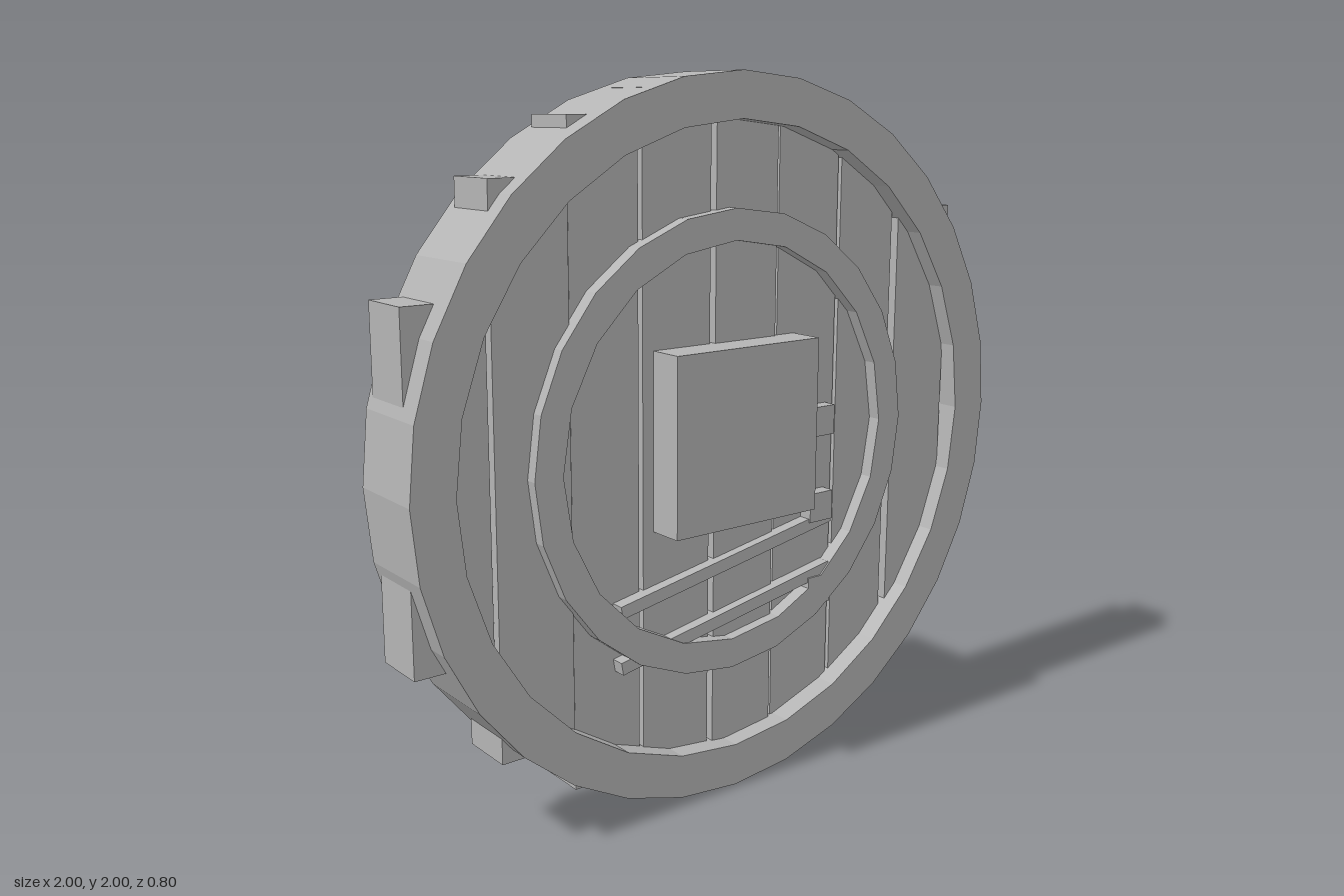
import * as THREE from 'three';

export function createModel() {
  const model = new THREE.Group();
  model.name = 'roundShield';
  const grey = new THREE.MeshStandardMaterial({ color: 0xb4b4b4 });
  grey.name = 'plainGrey';

  // Box given by its limits on each axis
  function box(name, x0, x1, y0, y1, z0, z1, parent = model) {
    const mesh = new THREE.Mesh(new THREE.BoxGeometry(x1 - x0, y1 - y0, z1 - z0), grey);
    mesh.position.set((x0 + x1) / 2, (y0 + y1) / 2, (z0 + z1) / 2);
    mesh.name = name;
    parent.add(mesh);
    return mesh;
  }

  function polygon(radius, sides) {
    return Array.from({ length: sides }, (_, i) => {
      const a = (i / sides) * Math.PI * 2;
      return new THREE.Vector2(Math.cos(a) * radius, Math.sin(a) * radius);
    });
  }

  // Faceted ring facing the front
  function ring(name, outer, inner, sides, innerSides, z0, z1) {
    const shape = new THREE.Shape(polygon(outer, sides));
    shape.holes.push(new THREE.Path(polygon(inner, innerSides)));
    const geo = new THREE.ExtrudeGeometry(shape, { depth: z1 - z0, bevelEnabled: false });
    const mesh = new THREE.Mesh(geo, grey);
    mesh.position.set(0, 1.003, z0);
    mesh.name = name;
    model.add(mesh);
  }
  ring('outerRim', 0.998, 0.875, 32, 28, 0.112, 0.356);
  ring('innerRing', 0.645, 0.56, 24, 20, 0.115, 0.335);

  // Upright planks: left edge, right edge, half height, back z
  const planks = [
    [-0.97, -0.745, 0.457, 0.132],
    [-0.738, -0.515, 0.74, 0.145],
    [-0.508, -0.295, 0.885, 0.135],
    [-0.285, -0.06, 0.95, 0.14],
    [-0.045, 0.17, 0.965, 0.145],
    [0.183, 0.405, 0.925, 0.137],
    [0.415, 0.625, 0.82, 0.14],
    [0.642, 0.857, 0.615, 0.15],
  ];
  const boards = new THREE.Group();
  boards.name = 'planks';
  model.add(boards);
  for (const [x0, x1, half, z] of planks) {
    box('plank', x0, x1, 1.005 - half, 1.005 + half, z, z + 0.157, boards);
  }

  // Square boss on the front
  box('boss', -0.25, 0.245, 0.795, 1.287, 0.25, 0.4);

  // Stepped backing blocks
  box('upperBacking', -0.13, 0.13, 1.09, 1.235, 0.025, 0.2);
  box('middleBacking', -0.207, 0.203, 0.815, 1.09, 0.015, 0.2);
  box('lowerBacking', -0.265, 0.26, 0.655, 0.815, 0.005, 0.2);

  // Hand grip at the back
  const grip = new THREE.Group();
  grip.name = 'grip';
  model.add(grip);
  box('gripTop', -0.09, 0.087, 1.27, 1.356, -0.4, 0.2, grip);
  box('gripBottom', -0.09, 0.087, 0.83, 0.917, -0.4, 0.2, grip);
  box('gripBar', -0.09, 0.087, 0.917, 1.27, -0.4, -0.3, grip);

  // Sloping arm braces through the planks
  for (const y of [0.67, 0.512]) {
    const brace = box('armBrace', -0.385, 0.381, y - 0.018, y + 0.018, -0.14, 0.33);
    brace.rotation.z = 0.178;
  }

  // Pegs beside the braces
  for (const y of [1.028, 0.773, 0.518]) {
    box('peg', 0.29, 0.376, y - 0.043, y + 0.043, -0.145, 0.335);
  }

  return model;
}
